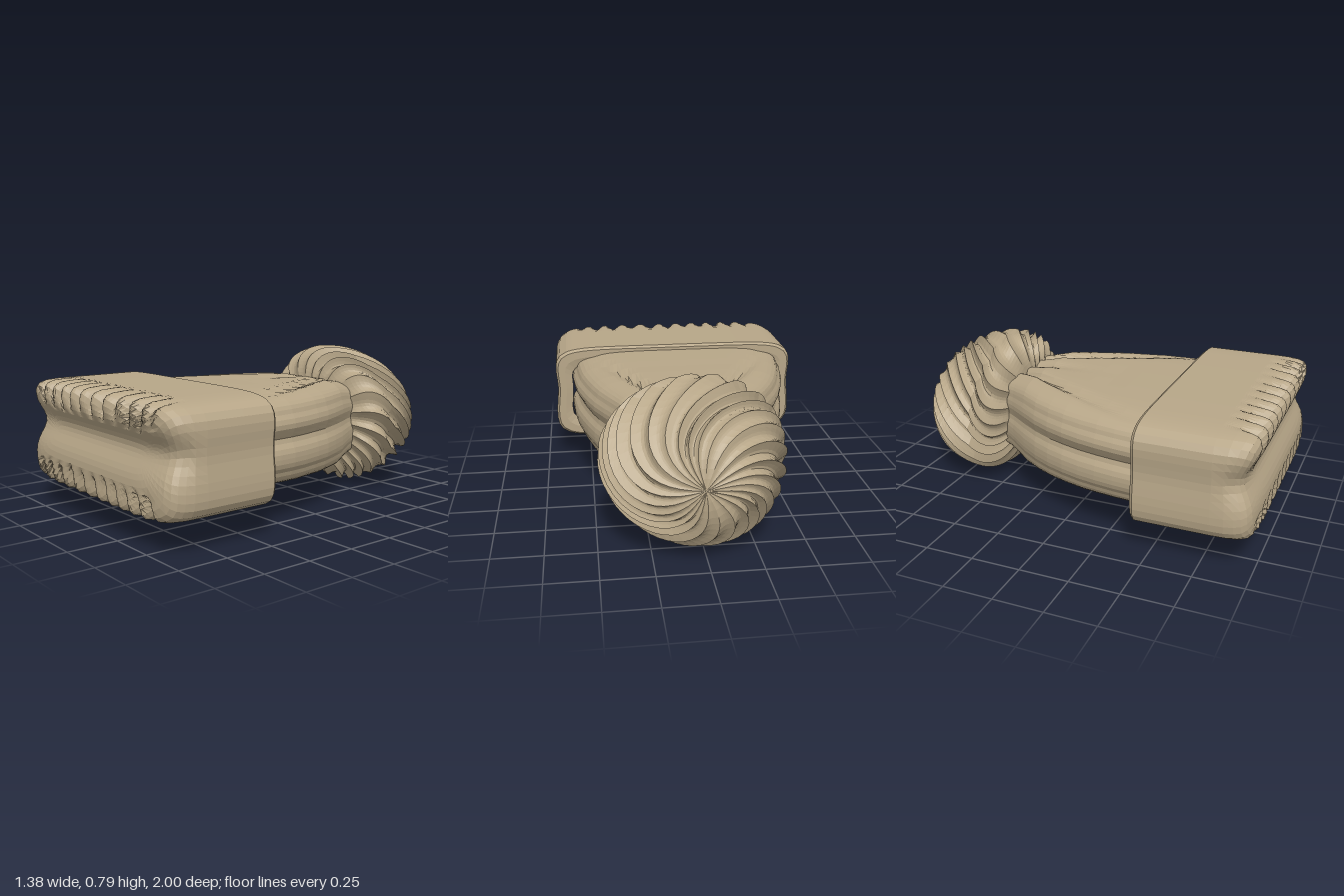
import * as THREE from 'three';

const CY = 0.39; // height of the hat's long axis

// Points round a soft rectangle, counter-clockwise seen from +z
function outline(nx, ny, power) {
  const sq = [];
  for (let i = 0; i < ny; i++) sq.push([1, -1 + 2 * i / ny]);
  for (let i = 0; i < nx; i++) sq.push([1 - 2 * i / nx, 1]);
  for (let i = 0; i < ny; i++) sq.push([-1, 1 - 2 * i / ny]);
  for (let i = 0; i < nx; i++) sq.push([-1 + 2 * i / nx, -1]);
  return sq.map(([u, v]) => {
    const k = (Math.abs(u) ** power + Math.abs(v) ** power) ** (-1 / power);
    return [u * k, v * k];
  });
}

// Skin a list of closed rings running from back (-z) to front (+z)
function loft(rings) {
  const n = rings[0].length, index = [];
  for (let j = 0; j < rings.length - 1; j++) {
    for (let i = 0; i < n; i++) {
      const k = (i + 1) % n, a = j * n + i, b = j * n + k;
      index.push(a, b, b + n, a, b + n, a + n);
    }
  }
  const g = new THREE.BufferGeometry();
  g.setAttribute('position', new THREE.Float32BufferAttribute(rings.flat(2), 3));
  g.setIndex(index);
  const flat = g.toNonIndexed(); // faceted look
  flat.computeVertexNormals();
  return flat;
}

const bump = (x, centre, width) => Math.exp(-(((x - centre) / width) ** 2));
const clamp01 = (x) => Math.min(1, Math.max(0, x));

// Folded brim: an outer band closed at the front by two soft rolls
function cuffGeometry() {
  const shape = outline(104, 14, 7);
  // [z, inset from the outer surface]
  const profile = [[0.425, 0.09], [0.415, 0.05], [0.416, 0.012], [0.432, 0], [0.6, 0], [0.8, 0], [0.88, 0],
    [0.94, 0.003], [0.975, 0.012], [0.992, 0.03], [1, 0.06], [1, 0.09], [1, 0.12], [1, 0.15], [1, 0.18],
    [1, 0.205], [1, 0.23], [1, 0.25], [1, 0.27]];
  return loft(profile.map(([z, inset]) => shape.map(([u, v]) => {
    const front = clamp01((z - 0.84) / 0.12);
    let y = v * (0.27 - inset);
    let x = u * (0.69 - inset - 0.012 * front);
    x *= 1 - (0.018 + 0.025 * front) * bump(y, 0.03, 0.09);
    // sharp notches along the upper and lower front edges
    const wave = Math.abs(Math.sin(x * 30 + 0.5 * Math.sin(x * 7 + 2 * Math.sign(v))));
    const reach = clamp01((Math.abs(y) - 0.13) / 0.08) * clamp01((0.58 - Math.abs(x)) / 0.08);
    const notch = front * reach * (1 - wave) * (0.8 + 0.2 * Math.sin(x * 19 + v));
    y -= Math.sign(y) * 0.05 * notch;
    // groove between the rolls and rounded outer corners
    const dip = 0.06 * bump(y, 0.045, 0.09) + 0.045 * Math.abs(x / 0.69) ** 8 + 0.05 * notch;
    return [x, CY + y, z - front * dip];
  })));
}

// Tapering crown: constant thickness, narrowing towards the pompom
function crownGeometry() {
  const shape = outline(48, 20, 4.5);
  // [z, half width, half height, x centre, y offset]
  const profile = [[-0.56, 0.24, 0.19, 0.03, 0], [-0.46, 0.275, 0.21, 0.03, 0], [-0.4, 0.31, 0.222, 0.025, 0],
    [-0.3, 0.375, 0.243, 0.015, -0.003], [-0.2, 0.435, 0.243, 0.005, -0.003], [-0.1, 0.486, 0.243, 0, -0.002],
    [0, 0.525, 0.242, -0.005, 0], [0.1, 0.555, 0.241, -0.008, 0], [0.2, 0.581, 0.239, -0.01, 0.003],
    [0.3, 0.598, 0.237, -0.014, 0.005], [0.4, 0.61, 0.235, -0.018, 0.007], [0.47, 0.612, 0.234, -0.018, 0.007]];
  return loft(profile.map(([z, w, h, cx, dy]) => shape.map(([u, v]) => {
    const gather = clamp01((0.35 - z) / 0.75);
    // long folds fanning out from the gathered neck
    const fold = bump(Math.abs(u), 0.8 - 0.4 * gather, 0.07) * (0.006 + 0.03 * gather)
      + bump(u, 0, 0.1) * 0.035 * gather ** 5;
    const y = v * h - Math.sign(v) * fold * Math.abs(v);
    const side = 1 - 0.055 * bump(v, 0.08, 0.16) - 0.02 * bump(Math.abs(v), 0.6, 0.1);
    return [cx + u * w * side, CY + dy + y, z];
  })));
}

// Pompom: a lopsided ball whose pleats run back from the neck and swirl at the rear
function pompomGeometry() {
  const rows = 32, pleats = 24, cols = pleats * 6, rings = [];
  for (let j = 0; j <= rows; j++) {
    const p = Math.PI * j / rows, s = Math.max(0, Math.sin(p)), c = Math.cos(p);
    const twist = 1.5 * ((c + 1) / 2) ** 2;
    const ring = [];
    for (let i = 0; i < cols; i++) {
      const t = 2 * Math.PI * i / cols;
      const a = t - twist + 0.08 * Math.sin(3 * t + 2 * c);
      const valley = Math.abs(Math.sin(t * pleats / 2));
      const depth = 0.085 + 0.035 * Math.sin(5 * t + 1);
      const r = 1.03 - depth * valley * Math.min(1, s * 1.6) + 0.02 * s * Math.sin(3 * a + 1);
      const spread = r * s ** (c > 0 ? 0.85 : 0.55); // long dome behind, flatter towards the crown
      const y = 0.385 * spread * Math.sin(a);
      ring.push([0.025 + 0.44 * spread * Math.cos(a), CY + y,
        -0.6 + 0.12 * y - (c > 0 ? 0.385 : 0.17) * c * (0.5 + 0.5 * r)]);
    }
    rings.push(ring);
  }
  return loft(rings);
}

export function createModel() {
  const hat = new THREE.Group();
  hat.name = 'knittedHat';
  const wool = new THREE.MeshStandardMaterial({ color: 0xb7a688 });
  wool.name = 'beigeWool';
  const parts = { cuff: cuffGeometry(), crown: crownGeometry(), pompom: pompomGeometry() };
  for (const [name, geometry] of Object.entries(parts)) {
    const mesh = new THREE.Mesh(geometry, wool);
    mesh.name = name;
    hat.add(mesh);
  }
  return hat;
}
